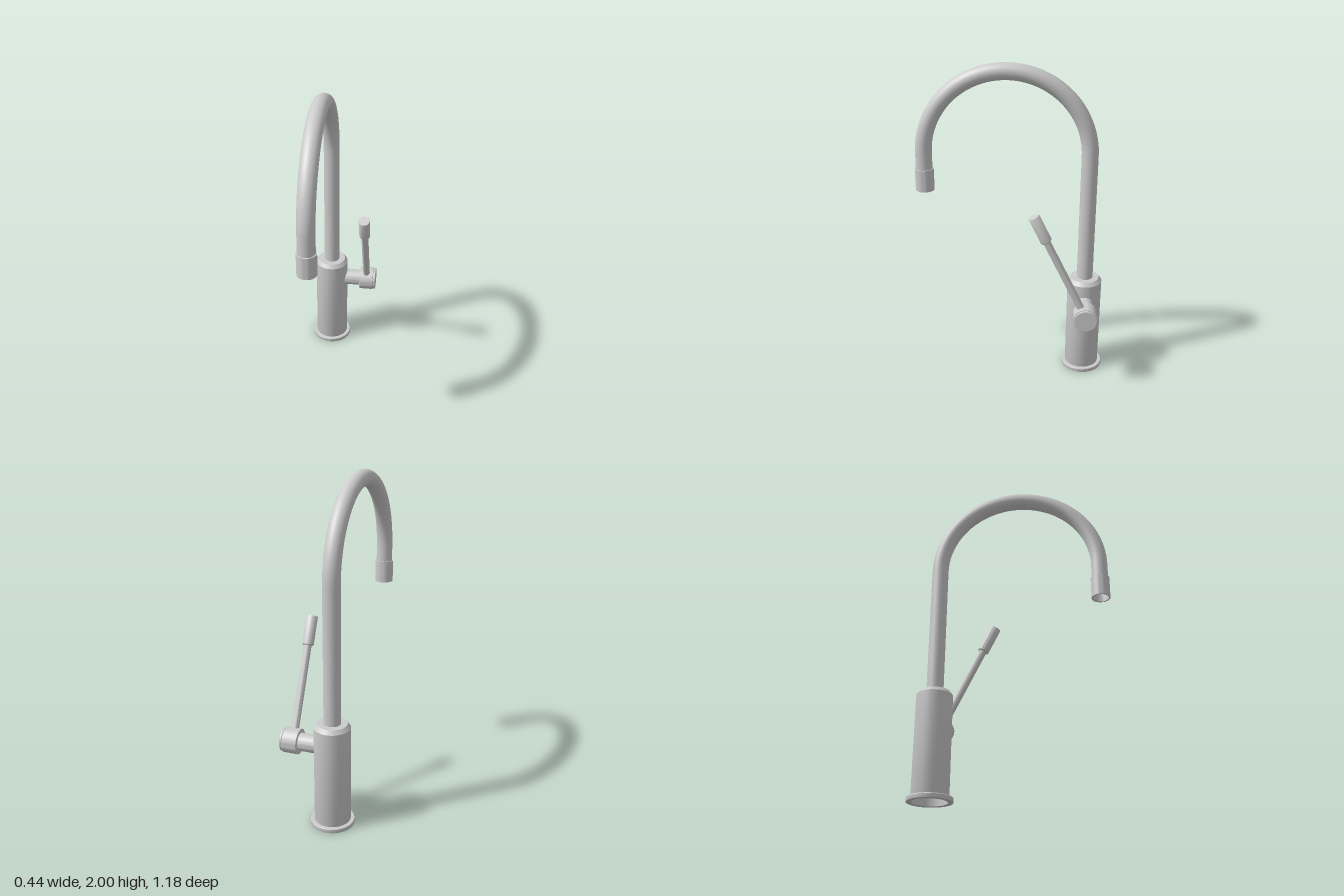
import * as THREE from 'three';
import { toCreasedNormals } from 'three/addons/utils/BufferGeometryUtils.js';

const material = new THREE.MeshStandardMaterial({ color: 0xcccccc, side: THREE.DoubleSide });
const X = -0.087, Z = -0.456; // column axis

// Revolved part from [radius, height] pairs, with crisp edges
function turned(name, profile, segments = 48) {
  const points = profile.map(([r, y]) => new THREE.Vector2(r, y));
  const geometry = toCreasedNormals(new THREE.LatheGeometry(points, segments), 0.5);
  const mesh = new THREE.Mesh(geometry, material);
  mesh.name = name;
  return mesh;
}

export function createModel() {
  const model = new THREE.Group();
  model.name = 'faucet';

  // Hollow column, chamfered at the top
  const body = turned('body', [
    [0.098, 0], [0.107, 0.025], [0.107, 0.622], [0.089, 0.646], [0.05, 0.646],
    [0.05, 0.636], [0.085, 0.636], [0.098, 0.615], [0.098, 0],
  ]);
  body.position.set(X, 0, Z);

  // Flange ring under the column
  const flange = turned('baseFlange', [
    [0.1, 0], [0.13, 0], [0.131, 0.003], [0.131, 0.022], [0.128, 0.026], [0.1, 0.026], [0.1, 0],
  ]);
  flange.position.set(X, 0, Z);

  // Gooseneck: straight riser, half circle, short drop
  const arcRadius = 0.496, arcY = 1.454, endZ = Z + 2 * arcRadius;
  const path = new THREE.CurvePath();
  path.add(new THREE.LineCurve3(new THREE.Vector3(X, 0.63, Z), new THREE.Vector3(X, arcY, Z)));
  const arc = [];
  for (let i = 0; i <= 32; i++) {
    const a = Math.PI * i / 32;
    arc.push(new THREE.Vector3(X, arcY + arcRadius * Math.sin(a), Z + arcRadius * (1 - Math.cos(a))));
  }
  path.add(new THREE.CatmullRomCurve3(arc));
  path.add(new THREE.LineCurve3(new THREE.Vector3(X, arcY, endZ), new THREE.Vector3(X, 1.34, endZ)));
  const spout = new THREE.Mesh(new THREE.TubeGeometry(path, 120, 0.05, 32), material);
  spout.name = 'spout';

  // Open nozzle sleeve
  const nozzle = turned('nozzle', [
    [0.048, 1.357], [0.048, 1.22], [0.057, 1.22], [0.057, 1.357], [0.048, 1.357],
  ].reverse());
  nozzle.position.set(X, 0, endZ);

  // Valve on the left side: stem, hub and end cap along x
  const valve = new THREE.Group();
  valve.name = 'valve';
  valve.position.set(0, 0.495, -0.458);
  const stem = turned('valveStem', [[0.053, 0], [0.053, 0.115]]);
  const hub = turned('valveHub', [[0, 0.11], [0.073, 0.11], [0.075, 0.112], [0.075, 0.199], [0.073, 0.201], [0, 0.201]]);
  const cap = turned('valveCap', [[0.066, 0.2], [0.066, 0.204], [0.07, 0.205], [0.07, 0.215], [0.068, 0.217], [0, 0.217]]);
  for (const part of [stem, hub, cap]) {
    part.rotation.z = -Math.PI / 2;
    valve.add(part);
  }

  // Lever tilted forward, with a thicker grip
  const lever = new THREE.Group();
  lever.name = 'lever';
  lever.position.x = 0.155;
  lever.rotation.x = 0.455;
  lever.add(
    turned('leverRod', [[0.0225, 0.05], [0.0225, 0.57]], 32),
    turned('leverGrip', [[0, 0.562], [0.03, 0.562], [0.0345, 0.568], [0.0345, 0.735], [0.033, 0.738], [0, 0.738]], 32),
  );
  valve.add(lever);

  model.add(body, flange, spout, nozzle, valve);
  return model;
}
